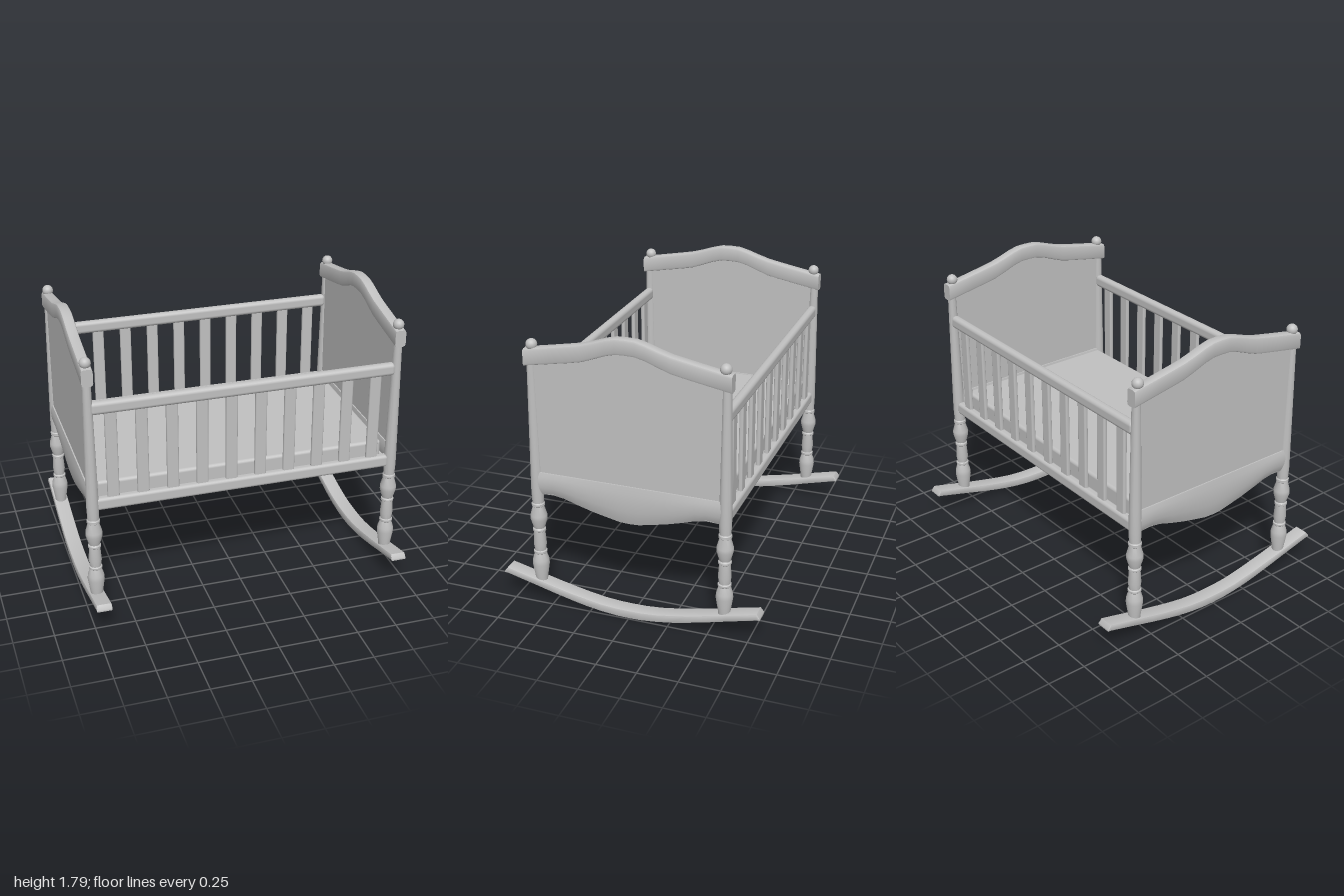
import * as THREE from 'three';
import { toCreasedNormals } from 'three/addons/utils/BufferGeometryUtils.js';
import { RoundedBoxGeometry } from 'three/addons/geometries/RoundedBoxGeometry.js';

// Stations [z, bottom, top] are given for z >= 0 and mirrored to the other half
const mirrored = half => [...half.slice(1).reverse().map(([z, b, t]) => [-z, b, t]), ...half];

// Sweep a cross-section [dx, v] along z; v runs 0..1 from bottom to top
function loft(stations, section) {
  const pos = [], index = [], n = section.length;
  for (const [z, b, t] of stations)
    for (const [dx, v] of section) pos.push(dx, b + (t - b) * v, z);
  for (let i = 0; i < stations.length - 1; i++)
    for (let j = 0; j < n; j++) {
      const a = i * n + j, b = i * n + (j + 1) % n, c = b + n, d = a + n;
      index.push(a, b, d, b, c, d);
    }
  const last = (stations.length - 1) * n;
  [[0, true], [last, false]].forEach(([start, flip]) => {
    const [z, b, t] = stations[start / n];
    const centre = pos.push(0, (b + t) / 2, z) / 3 - 1;
    for (let j = 0; j < n; j++) {
      const p = start + j, q = start + (j + 1) % n;
      flip ? index.push(centre, q, p) : index.push(centre, p, q);
    }
  });
  const g = new THREE.BufferGeometry();
  g.setAttribute('position', new THREE.Float32BufferAttribute(pos, 3));
  g.setIndex(index);
  return toCreasedNormals(g, 0.7);
}

// Rectangle with softened corners: half width w, corner cut c, cut in v
const softSection = (w, c, v) => [
  [-w + c, 0], [w - c, 0], [w - c * 0.3, v * 0.3], [w, v], [w, 1 - v], [w - c * 0.3, 1 - v * 0.3],
  [w - c, 1], [-w + c, 1], [-w + c * 0.3, 1 - v * 0.3], [-w, 1 - v], [-w, v], [-w + c * 0.3, v * 0.3],
];

export function createModel() {
  const group = new THREE.Group();
  const grey = new THREE.MeshStandardMaterial({ color: 0xc0c0c0 });
  grey.name = 'paintedWood';
  const add = (name, geometry, x = 0, y = 0, z = 0) => {
    const mesh = new THREE.Mesh(geometry, grey);
    mesh.name = name;
    mesh.position.set(x, y, z);
    group.add(mesh);
    return mesh;
  };

  // Turned corner post with bulbs and rings
  const postProfile = [
    [0, 0.12], [0.036, 0.12], [0.038, 0.16], [0.052, 0.25], [0.05, 0.28], [0.036, 0.325],
    [0.041, 0.33], [0.041, 0.342], [0.034, 0.347], [0.04, 0.39], [0.034, 0.475],
    [0.04, 0.48], [0.04, 0.492], [0.034, 0.5], [0.051, 0.56], [0.051, 0.585], [0.034, 0.645],
    [0.04, 0.65], [0.04, 0.665], [0.035, 0.672], [0.038, 0.75], [0.036, 0.9],
    [0.026, 1.55], [0.025, 1.62], [0, 1.62],
  ].map(([r, y]) => new THREE.Vector2(r, y));
  const post = toCreasedNormals(new THREE.LatheGeometry(postProfile, 20), 0.6);

  // Ball finial on a short neck
  const finialProfile = [[0.02, 1.6], [0.02, 1.645]];
  for (let i = 1; i <= 12; i++) {
    const a = -Math.PI / 2 + 0.5 + (Math.PI - 0.5) * i / 12;
    finialProfile.push([Math.max(0, 0.034 * Math.cos(a)), 1.68 + 0.034 * Math.sin(a)]);
  }
  const finial = new THREE.LatheGeometry(finialProfile.map(p => new THREE.Vector2(...p)), 20);

  // End boards: crest rail, flat panel and shaped apron
  const crestLine = mirrored([
    [0, 1.69, 1.787], [0.06, 1.688, 1.785], [0.12, 1.673, 1.77], [0.2, 1.642, 1.743],
    [0.27, 1.617, 1.722], [0.34, 1.602, 1.708], [0.45, 1.582, 1.687], [0.625, 1.55, 1.655],
  ]);
  const crest = loft(crestLine, softSection(0.034, 0.015, 0.15));
  const panelLine = crestLine.map(([z, b]) => [z * 0.92, 0.74, b + 0.04]);
  const panel = loft(panelLine, [[-0.014, 0], [0.014, 0], [0.014, 1], [-0.014, 1]]);
  const apronSection = [
    [-0.01, 0], [0.01, 0], [0.021, 0.15], [0.029, 0.35], [0.032, 0.6], [0.029, 0.82], [0.022, 1],
    [-0.022, 1], [-0.029, 0.82], [-0.032, 0.6], [-0.029, 0.35], [-0.021, 0.15],
  ];
  const apron = loft(mirrored([
    [0, 0.63, 0.88], [0.06, 0.633, 0.88], [0.14, 0.65, 0.88], [0.23, 0.67, 0.88],
    [0.33, 0.698, 0.88], [0.41, 0.724, 0.88], [0.48, 0.735, 0.88], [0.58, 0.73, 0.88],
  ]), apronSection);

  // Curved rocker runner
  const rocker = loft(mirrored([
    [0, 0, 0.055], [0.08, 0.002, 0.056], [0.18, 0.012, 0.064], [0.28, 0.028, 0.08],
    [0.36, 0.045, 0.096], [0.48, 0.074, 0.122], [0.62, 0.111, 0.156], [0.8, 0.157, 0.199],
    [0.82, 0.161, 0.172],
  ]), softSection(0.047, 0.008, 0.16));

  for (const side of [-1, 1]) {
    const end = side > 0 ? 'left' : 'right';
    const x = side * 0.95;
    add(end + 'CrestRail', crest, x);
    add(end + 'EndPanel', panel, x);
    add(end + 'Apron', apron, x);
    add(end + 'Rocker', rocker, x);
    for (const z of [-0.59, 0.59]) {
      add(end + 'Post', post, x, 0, z);
      add(end + 'Finial', finial, x, 0, z * 0.985);
    }
  }

  // Slatted sides
  const topRail = new RoundedBoxGeometry(1.88, 0.08, 0.055, 4, 0.024);
  const lowerRail = new RoundedBoxGeometry(1.86, 0.08, 0.055, 4, 0.02);
  const slat = new RoundedBoxGeometry(0.073, 0.6, 0.026, 3, 0.01);
  for (const side of [-1, 1]) {
    const name = side > 0 ? 'front' : 'back';
    const z = side * 0.587;
    add(name + 'TopRail', topRail, 0, 1.397, z);
    add(name + 'LowerRail', lowerRail, 0, 0.77, z);
    for (let i = 0; i < 10; i++) add(name + 'Slat', slat, -0.82 + i * 0.1822, 1.085, z);
  }

  // Bed base and mattress
  add('base', new THREE.BoxGeometry(1.88, 0.05, 1.15), 0, 0.76, 0);
  add('mattress', new RoundedBoxGeometry(1.81, 0.13, 1.1, 4, 0.02), -0.005, 0.825, 0);
  return group;
}
